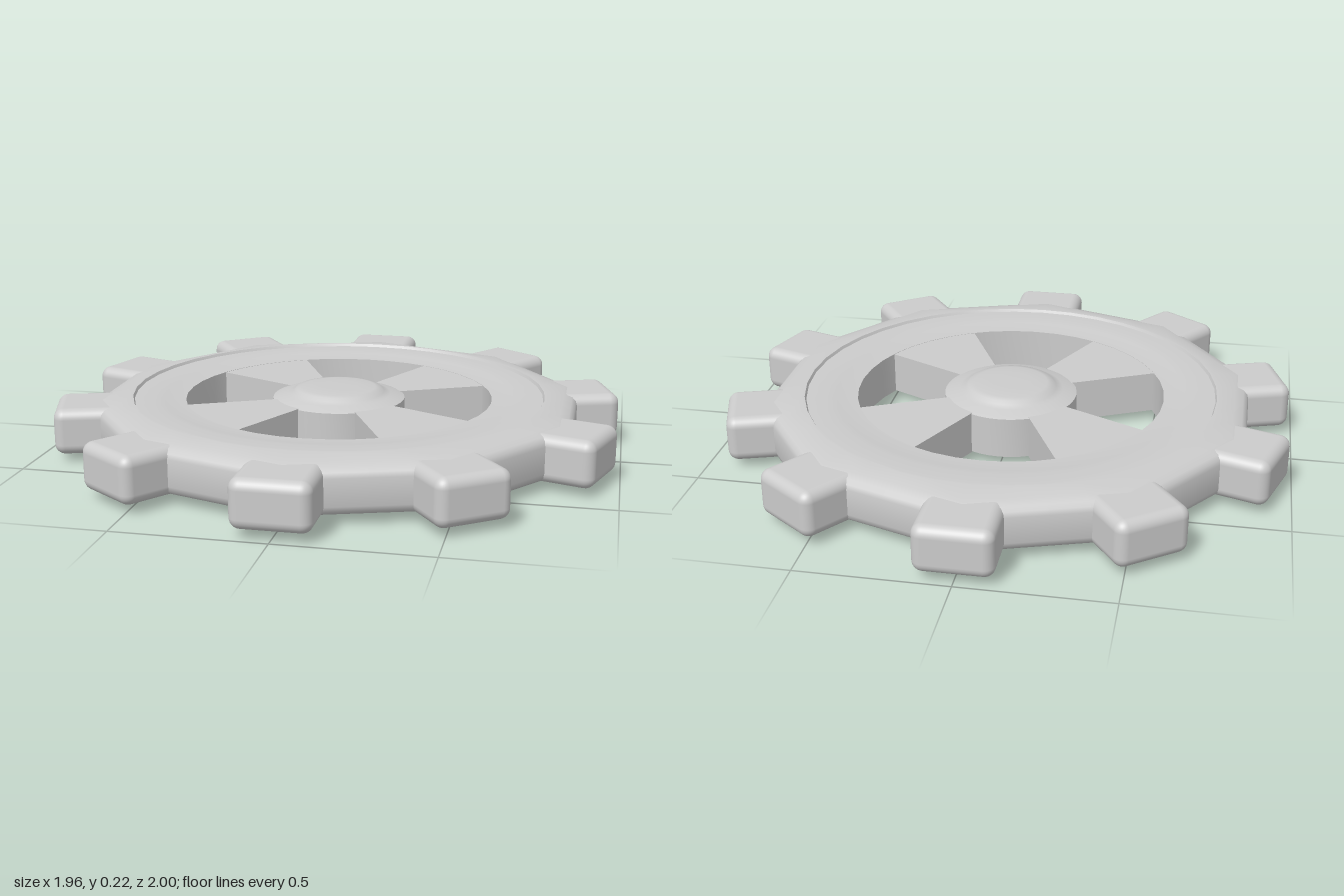
import * as THREE from 'three';
import { toCreasedNormals } from 'three/addons/utils/BufferGeometryUtils.js';
import { RoundedBoxGeometry } from 'three/addons/geometries/RoundedBoxGeometry.js';

const MID = 0.11; // height of the mirror plane
const TEETH = 10;
const material = new THREE.MeshStandardMaterial({ color: 0xcccccc });

function mesh(name, geometry) {
  const m = new THREE.Mesh(geometry, material);
  m.name = name;
  return m;
}

// Mirrors the upper half of a section [radius, height above mid] about the mid plane.
// The half runs from the outside to the inside.
function mirroredLathe(half, closed) {
  const top = half.map(([r, y]) => new THREE.Vector2(r, y));
  const bottom = half.map(([r, y]) => new THREE.Vector2(r, -y)).reverse();
  const points = closed ? [...top, ...bottom, top[0].clone()] : [...bottom, ...top];
  return new THREE.LatheGeometry(points, 40);
}

// Ring with a ten-sided outside, a small step at 0.73 and a round inside
function rimGeometry() {
  const g = mirroredLathe([
    [0.838, 0.045], [0.833, 0.062], [0.82, 0.074], [0.79, 0.083],
    [0.74, 0.096], [0.73, 0.096], [0.725, 0.086], [0.65, 0.087],
    [0.62, 0.083], [0.58, 0.078], [0.545, 0.076],
  ], true);
  const p = g.attributes.position;
  const step = (Math.PI * 2) / TEETH;
  for (let i = 0; i < p.count; i++) {
    const x = p.getX(i), z = p.getZ(i);
    if (Math.hypot(x, z) < 0.77) continue;
    const a = Math.atan2(x, z) + Math.PI * 2;
    const k = 1 / Math.cos((a % step) - step / 2);
    p.setX(i, x * k);
    p.setZ(i, z * k);
  }
  return toCreasedNormals(g, 0.7);
}

// Wedge-shaped spoke lying flat, centred on the +x axis
function spokeGeometry() {
  const half = THREE.MathUtils.degToRad(19.5);
  const s = new THREE.Shape();
  s.absarc(0, 0, 0.58, -half, half, false);
  s.absarc(0, 0, 0.2, half, -half, true);
  const g = new THREE.ExtrudeGeometry(s, { depth: 0.15, bevelEnabled: false, curveSegments: 8 });
  g.translate(0, 0, -0.075);
  g.rotateX(-Math.PI / 2);
  return g;
}

export function createModel() {
  const model = new THREE.Group();
  model.name = 'gearWheel';
  const wheel = new THREE.Group();
  wheel.name = 'wheel';
  wheel.position.y = MID;
  model.add(wheel);

  wheel.add(mesh('rim', rimGeometry()));

  // Hub with a slightly domed crown on both faces
  wheel.add(mesh('hub', toCreasedNormals(mirroredLathe([
    [0.235, 0.072], [0.215, 0.079], [0.185, 0.086], [0.162, 0.093],
    [0.152, 0.104], [0.13, 0.108], [0.07, 0.11], [0, 0.11],
  ], false), 0.7)));

  // Four spokes on the diagonals
  const spoke = spokeGeometry();
  for (let i = 0; i < 4; i++) {
    const m = mesh('spoke', spoke);
    m.rotation.y = Math.PI / 4 + (i * Math.PI) / 2;
    wheel.add(m);
  }

  // Ten rounded teeth, the first one at the front
  const tooth = new RoundedBoxGeometry(0.258, 0.162, 0.25, 4, 0.036);
  tooth.translate(0, 0, 0.875);
  for (let i = 0; i < TEETH; i++) {
    const m = mesh('tooth', tooth);
    m.rotation.y = (i * Math.PI * 2) / TEETH;
    wheel.add(m);
  }
  return model;
}
